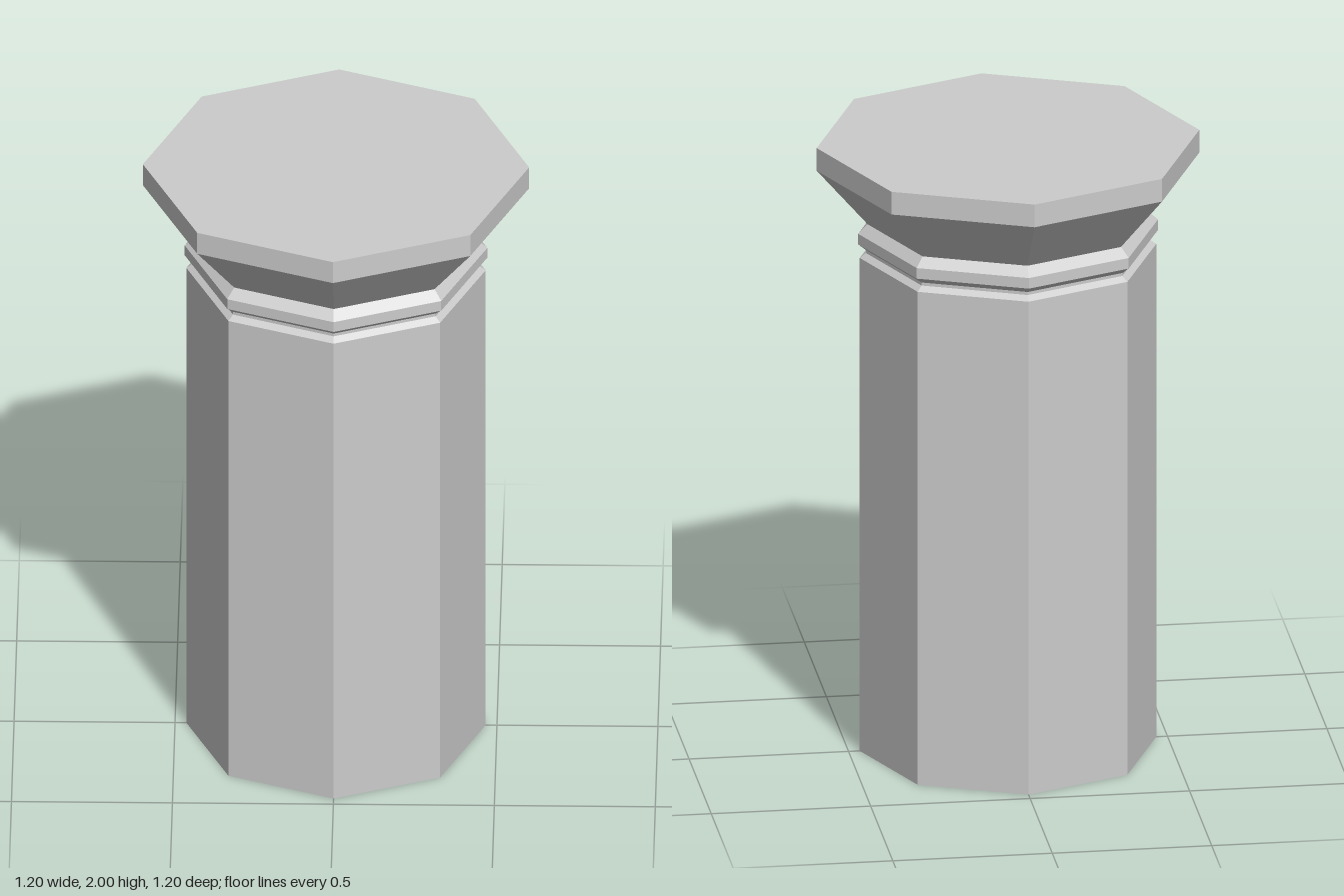
import * as THREE from 'three';

const SIDES = 8;

// Eight-sided band turned from [radius, height] pairs listed bottom to top
function band(name, profile) {
  const points = profile.map(([r, y]) => new THREE.Vector2(r, y));
  const material = new THREE.MeshStandardMaterial({ color: 0xcccccc, flatShading: true });
  const mesh = new THREE.Mesh(new THREE.LatheGeometry(points, SIDES), material);
  mesh.name = name;
  return mesh;
}

export function createModel() {
  const column = new THREE.Group();
  column.name = 'octagonalColumn';

  // Plain shaft, closed underneath
  column.add(band('shaft', [[0, 0], [0.465, 0], [0.465, 1.63]]));

  // Narrow groove above the shaft
  column.add(band('neckGroove', [[0.465, 1.63], [0.445, 1.645], [0.445, 1.655]]));

  // Bevelled ring under the capital
  column.add(band('neckRing', [[0.445, 1.655], [0.47, 1.675], [0.47, 1.71], [0.44, 1.74]]));

  // Flared bell of the capital
  column.add(band('capitalFlare', [[0.44, 1.74], [0.6, 1.925]]));

  // Flat slab on top, closed above
  column.add(band('topSlab', [[0.6, 1.925], [0.6, 2], [0, 2]]));

  return column;
}
